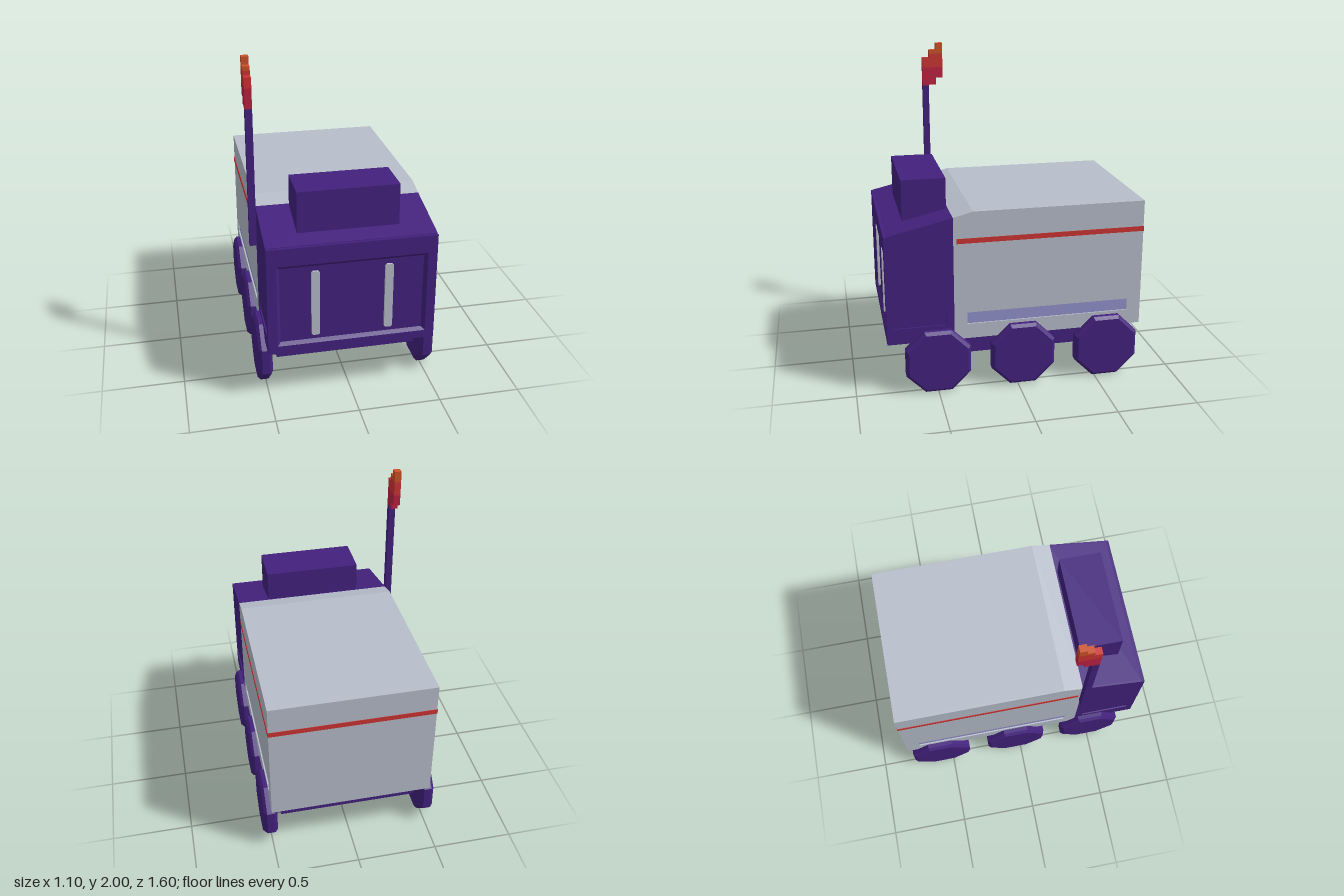
import * as THREE from 'three';

const mat = (name, color) => Object.assign(new THREE.MeshStandardMaterial({ color }), { name });

export function createModel() {
  const model = new THREE.Group();
  model.name = 'sixWheeledRover';

  const purple = mat('deep purple', 0x43217d);
  const grey = mat('pale grey', 0xb6bdca);
  const lavender = mat('lavender', 0x9392cc);
  const red = mat('red', 0xcc3433);
  const crimson = mat('crimson', 0xbe2142);
  const orange = mat('orange', 0xcc5228);

  const add = (name, geometry, material) => {
    const mesh = new THREE.Mesh(geometry, material);
    mesh.name = name;
    model.add(mesh);
    return mesh;
  };

  // Box given by its minimum and maximum corners
  const box = (name, material, [x0, y0, z0], [x1, y1, z1]) => {
    const g = new THREE.BoxGeometry(x1 - x0, y1 - y0, z1 - z0);
    g.translate((x0 + x1) / 2, (y0 + y1) / 2, (z0 + z1) / 2);
    return add(name, g, material);
  };

  const rect = (a0, b0, a1, b1) => [[a0, b0], [a1, b0], [a1, b1], [a0, b1]];
  const toVectors = (pts) => pts.map(([a, b]) => new THREE.Vector2(a, b));

  // Side profile in (z, y), extruded across x, with an optional opening
  const across = (name, material, profile, x0, x1, hole) => {
    const shape = new THREE.Shape(toVectors(profile));
    if (hole) shape.holes.push(new THREE.Path(toVectors(hole)));
    const g = new THREE.ExtrudeGeometry(shape, { depth: x1 - x0, bevelEnabled: false });
    g.rotateY(-Math.PI / 2);
    g.translate(x1, 0, 0);
    return add(name, g, material);
  };

  // Four-sided band between two front-facing rectangles at different depths
  const band = (name, material, outer, zOuter, inner, zInner) => {
    const pos = [];
    for (let i = 0; i < 4; i++) {
      const j = (i + 1) % 4;
      const a = [...outer[i], zOuter], b = [...outer[j], zOuter];
      const c = [...inner[j], zInner], d = [...inner[i], zInner];
      pos.push(...a, ...b, ...c, ...a, ...c, ...d);
    }
    const g = new THREE.BufferGeometry();
    g.setAttribute('position', new THREE.Float32BufferAttribute(pos, 3));
    g.computeVertexNormals();
    return add(name, g, material);
  };

  // Cab and cargo hull: core plus outer skins with a shallow recess each side
  const W = 0.506, SKIN = 0.012;
  const hulls = [
    {
      name: 'cab', material: purple, panel: purple,
      profile: [[0.39, 0.325], [0.78, 0.325], [0.78, 1.015], [0.39, 1.105]],
      recess: rect(0.44, 0.425, 0.76, 0.495),
    },
    {
      name: 'cargoHull', material: grey, panel: lavender,
      profile: [[-0.798, 0.325], [0.39, 0.325], [0.39, 1.105], [0.27, 1.137], [-0.798, 1.137]],
      recess: rect(-0.71, 0.42, 0.31, 0.495),
    },
  ];
  for (const h of hulls) {
    across(h.name + 'Core', h.material, h.profile, -W + SKIN, W - SKIN);
    for (const s of [-1, 1]) {
      const span = (a, b) => (s > 0 ? [a, b] : [-b, -a]);
      across(h.name + 'Skin', h.material, h.profile, ...span(W - SKIN, W), h.recess);
      across(h.name + 'RecessPanel', h.panel, h.recess, ...span(W - SKIN, W - SKIN + 0.003));
    }
  }

  // Cab nose: rim, bevelled recess and sunken face
  const rim = rect(-W, 0.325, W, 1.012);
  const outer = rect(-0.45, 0.375, 0.45, 0.9);
  const inner = rect(-0.43, 0.395, 0.43, 0.88);
  band('noseEdge', purple, rim, 0.78, rim, 0.8).material = purple;
  band('noseSides', purple, rim, 0.7799, rim, 0.8);
  model.remove(model.getObjectByName('noseEdge'), model.getObjectByName('noseSides'));
  const noseShape = new THREE.Shape(toVectors(rim));
  noseShape.holes.push(new THREE.Path(toVectors(outer)));
  const nose = new THREE.ExtrudeGeometry(noseShape, { depth: 0.02, bevelEnabled: false });
  nose.translate(0, 0, 0.78);
  add('noseRim', nose, purple);
  band('noseRecessBevel', purple, outer, 0.8, inner, 0.782);

  // Vertical light bars with clipped corners
  for (const x of [-0.22, 0.22]) {
    const a = 0.025, c = 0.01, y0 = 0.425, y1 = 0.848;
    const bar = new THREE.ExtrudeGeometry(new THREE.Shape(toVectors([
      [x - a + c, y0], [x + a - c, y0], [x + a, y0 + c], [x + a, y1 - c],
      [x + a - c, y1], [x - a + c, y1], [x - a, y1 - c], [x - a, y0 + c],
    ])), { depth: 0.015, bevelEnabled: false });
    bar.translate(0, 0, 0.78);
    add('lightBar', bar, grey);
  }

  // Roof box and underbody
  box('roofBox', purple, [-0.305, 1.03, 0.4], [0.305, 1.295, 0.67]);
  box('chassis', purple, [-0.435, 0.195, -0.7], [0.435, 0.33, 0.64]);

  // Red stripe along both sides and the back
  for (const s of [-1, 1]) {
    const x = s * (W + 0.001);
    box('sideStripe', red, [x - 0.002, 0.942, -0.8], [x + 0.002, 0.973, 0.37]);
  }
  box('backStripe', red, [-W, 0.942, -0.801], [W, 0.973, -0.797]);

  // Octagonal wheels with chamfered rims
  const R = 0.2 / Math.cos(Math.PI / 8);
  const wheelProfile = toVectors([
    [0, -0.042], [R - 0.02, -0.042], [R, -0.024], [R, 0.024], [R - 0.02, 0.042], [0, 0.042],
  ]);
  const wheel = new THREE.LatheGeometry(wheelProfile, 8, Math.PI / 8).toNonIndexed();
  wheel.computeVertexNormals();
  wheel.rotateZ(Math.PI / 2);
  for (const x of [-0.508, 0.508]) {
    for (const z of [0.495, -0.035, -0.57]) {
      add('wheel', wheel, purple).position.set(x, 0.2, z);
    }
  }

  // Mast on the right side
  const MX0 = -0.55, MX1 = -0.508;
  box('mast', purple, [MX0, 0.86, 0.382], [MX1, 1.72, 0.422]);

  // Stepped flag: three columns, coloured in height bands
  const columns = [[0.376, 0.422, 1.72, 1.905], [0.332, 0.376, 1.725, 1.955], [0.287, 0.332, 1.77, 2]];
  const bands = [['flagLower', crimson, 1.7, 1.84], ['flagMiddle', red, 1.84, 1.93], ['flagTip', orange, 1.93, 2]];
  for (const [z0, z1, y0, y1] of columns) {
    for (const [name, material, b0, b1] of bands) {
      const lo = Math.max(y0, b0), hi = Math.min(y1, b1);
      if (hi > lo) box(name, material, [MX0, lo, z0], [MX1, hi, z1]);
    }
  }
  return model;
}
